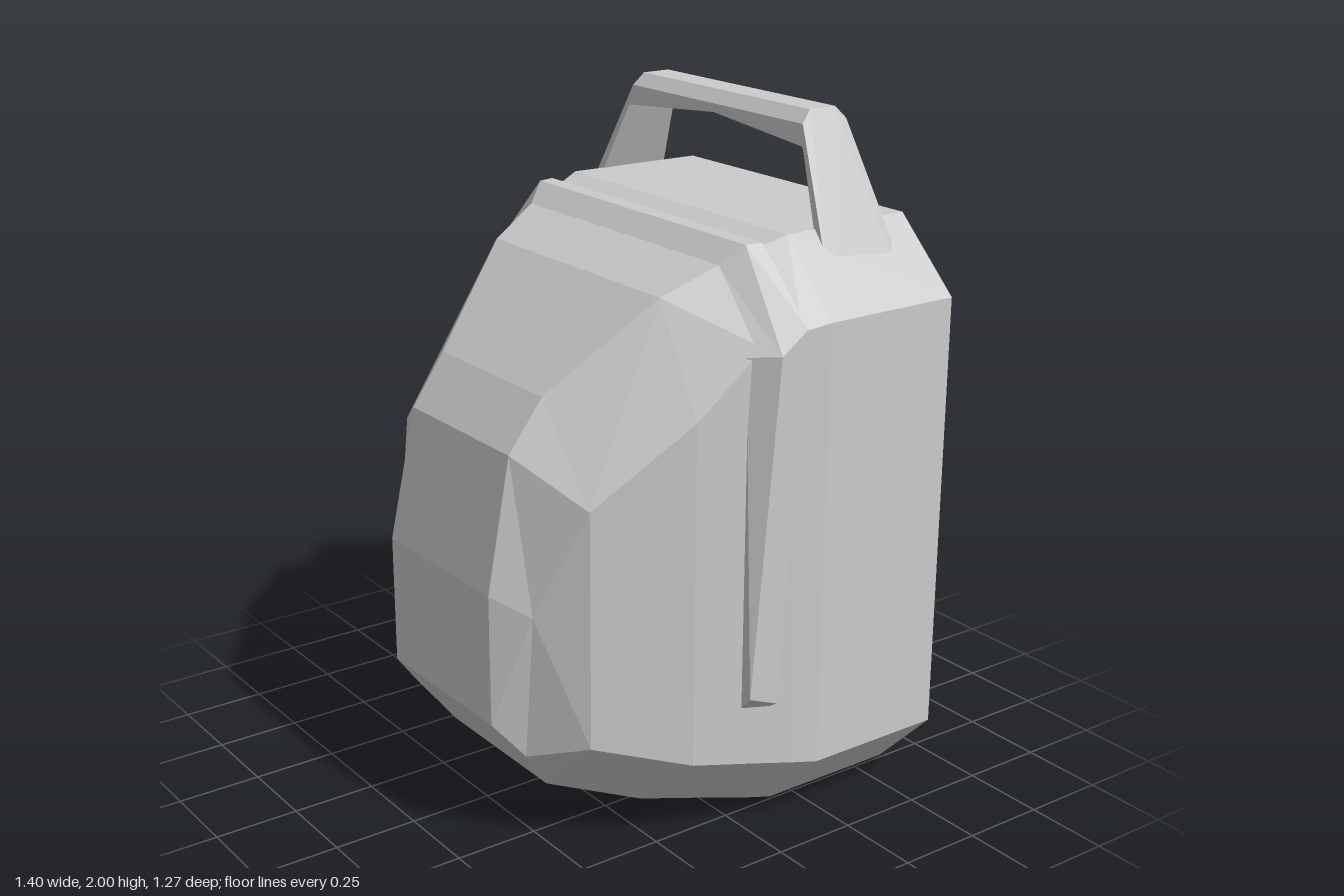
import * as THREE from 'three';

const material = new THREE.MeshStandardMaterial({ color: 0xcccccc, flatShading: true, side: THREE.DoubleSide });
const v = (x, y, z) => new THREE.Vector3(x, y, z);
const centre = (ring) => ring.reduce((s, p) => s.add(p), v(0, 0, 0)).divideScalar(ring.length);

// Faceted skin over a row of rings, capped at both ends.
function loft(name, rings) {
  const out = [];
  const tri = (a, b, c) => {
    const area = b.clone().sub(a).cross(c.clone().sub(a)).length();
    if (area > 1e-7) for (const p of [a, b, c]) out.push(p.x, p.y, p.z);
  };
  for (let i = 0; i < rings.length - 1; i++) {
    const r = rings[i], s = rings[i + 1], n = r.length;
    const mid = centre(r).add(centre(s)).multiplyScalar(0.5);
    for (let j = 0; j < n; j++) {
      const k = (j + 1) % n;
      const a = r[j], b = r[k], c = s[k], d = s[j];
      // split each quad along its outer diagonal
      const ac = a.clone().add(c).multiplyScalar(0.5).distanceTo(mid);
      const bd = b.clone().add(d).multiplyScalar(0.5).distanceTo(mid);
      if (ac >= bd) { tri(a, b, c); tri(a, c, d); }
      else { tri(a, b, d); tri(b, c, d); }
    }
  }
  const first = rings[0], last = rings[rings.length - 1];
  for (let j = 1; j < first.length - 1; j++) {
    tri(first[0], first[j + 1], first[j]);
    tri(last[0], last[j], last[j + 1]);
  }
  const geometry = new THREE.BufferGeometry();
  geometry.setAttribute('position', new THREE.Float32BufferAttribute(out, 3));
  geometry.computeVertexNormals();
  const mesh = new THREE.Mesh(geometry, material);
  mesh.name = name;
  return mesh;
}

// Octagonal section from its right half: bottom, low side, shoulder, top as [x, y, z].
function section(...half) {
  const right = half.map((p) => v(...p));
  const left = half.map(([x, y, z]) => v(-x, y, z)).reverse();
  return [...right, ...left];
}

// Rings for one side (+x, from the middle outwards) mirrored to the other side.
function mirrored(half) {
  const right = half.map((ring) => ring.map((p) => v(...p)));
  const left = half.map((ring) => ring.map(([x, y, z]) => v(-x, y, z))).reverse();
  return [...left, ...right];
}

export function createModel() {
  const group = new THREE.Group();
  group.name = 'backpack';

  // Body, back to front
  group.add(loft('body', [
    section([0.46, 0.03, -0.635], [0.62, 0.19, -0.635], [0.61, 1.42, -0.635], [0.45, 1.54, -0.635]),
    section([0.49, 0, -0.61], [0.69, 0.205, -0.61], [0.69, 1.5, -0.61], [0.48, 1.7, -0.61]),
    section([0.49, 0, -0.175], [0.69, 0.205, -0.175], [0.69, 1.5, -0.175], [0.5, 1.7, -0.175]),
    section([0.47, 0.015, -0.09], [0.672, 0.22, -0.09], [0.672, 1.485, -0.09], [0.475, 1.67, -0.09]),
    section([0.43, 0.033, 0.02], [0.645, 0.24, 0.02], [0.645, 1.455, 0.02], [0.45, 1.635, 0.02]),
    section([0.37, 0.065, 0.21], [0.6, 0.27, 0.2], [0.6, 1.27, 0.2], [0.4, 1.56, 0.175]),
    section([0.25, 0.14, 0.455], [0.475, 0.345, 0.455], [0.475, 1.04, 0.455], [0.255, 1.3, 0.455]),
    section([0.25, 0.28, 0.56], [0.31, 0.285, 0.56], [0.355, 0.72, 0.56], [0.25, 1.155, 0.56]),
    section([0.26, 0.385, 0.64], [0.26, 0.385, 0.64], [0.26, 0.77, 0.64], [0.26, 0.77, 0.64]),
  ]));

  // Band over the top and down both sides: outer back, outer front, inner front, inner back
  group.add(loft('band', mirrored([
    [[0.5, 1.69, -0.09], [0.49, 1.69, -0.04], [0.45, 1.634, 0.02], [0.45, 1.62, -0.09]],
    [[0.7, 1.5, -0.085], [0.7, 1.44, 0], [0.625, 1.43, 0.06], [0.62, 1.42, -0.085]],
    [[0.685, 0.43, -0.025], [0.672, 0.46, 0.06], [0.635, 0.42, 0.06], [0.64, 0.4, -0.025]],
  ])));

  // Carry handle: bevelled bar and two legs widening to the feet
  const hz = -0.39;
  const handleRing = ([ox, oy, ow], [mx, my, mw], [ix, iy, iw]) => [
    [ox, oy, hz - ow], [ox, oy, hz + ow], [mx, my, hz + mw],
    [ix, iy, hz + iw], [ix, iy, hz - iw], [mx, my, hz - mw],
  ];
  group.add(loft('handle', mirrored([
    handleRing([0, 2, 0.045], [0, 1.965, 0.078], [0, 1.94, 0.078]),
    handleRing([0.38, 2, 0.045], [0.39, 1.965, 0.078], [0.4, 1.905, 0.085]),
    handleRing([0.58, 1.6, 0.1], [0.565, 1.6, 0.13], [0.535, 1.6, 0.13]),
  ])));

  return group;
}
